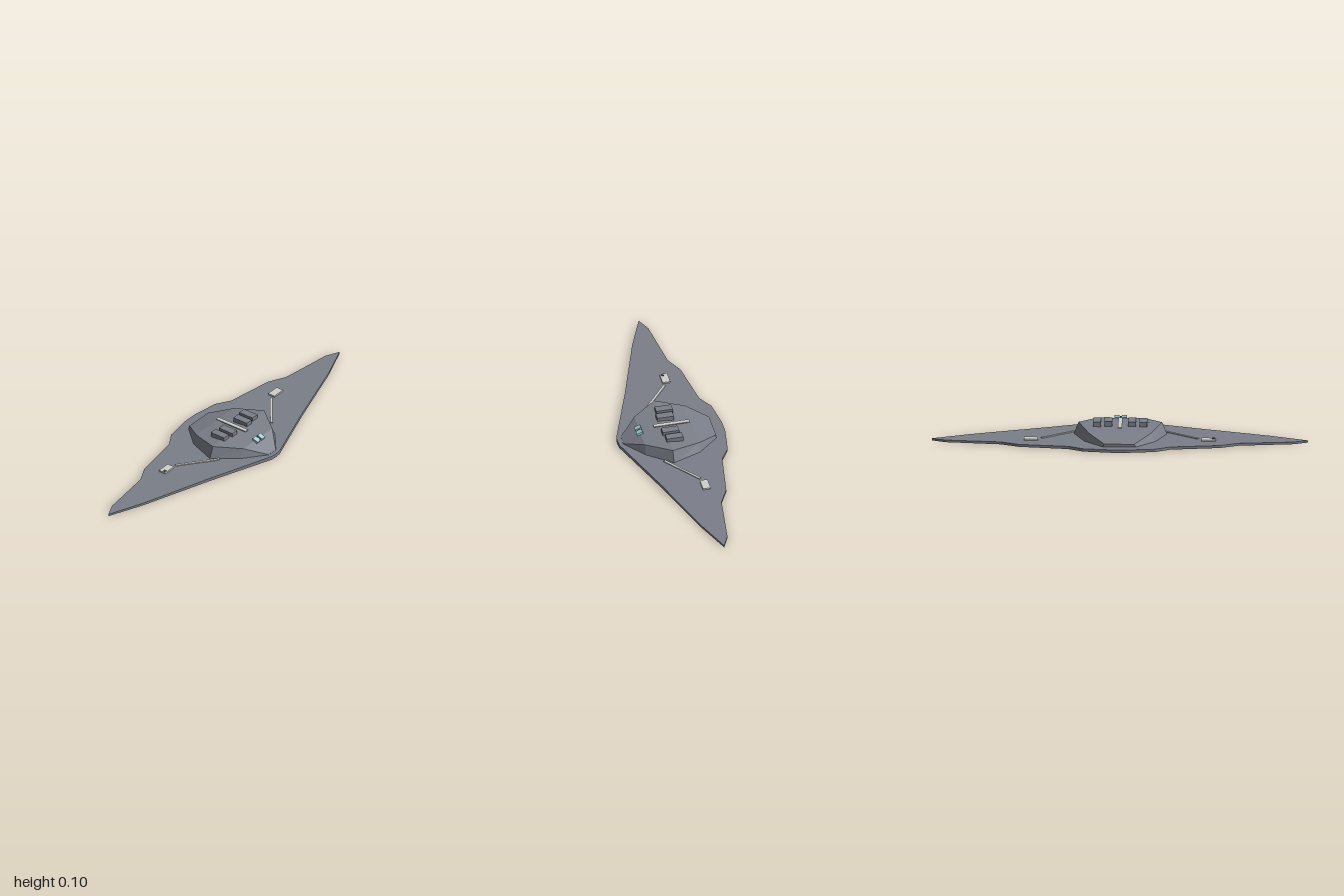
import * as THREE from 'three';

const mat = (name, color, flatShading = true) => {
  const m = new THREE.MeshStandardMaterial({ color, flatShading });
  m.name = name;
  return m;
};

export function createModel() {
  const model = new THREE.Group();
  model.name = 'wingShip';
  const hull = mat('hullGrey', 0x7b7f89);
  const pale = mat('paleMetal', 0xcfcfcd);
  const glass = mat('paleBlueGlass', 0xa5cdd6);
  const dark = mat('darkMetal', 0x4a4c50);

  const add = (name, geometry, material, x = 0, y = 0, z = 0) => {
    const mesh = new THREE.Mesh(geometry, material);
    mesh.name = name;
    mesh.position.set(x, y, z);
    model.add(mesh);
    return mesh;
  };
  const box = (name, material, w, h, d, x, y, z) =>
    add(name, new THREE.BoxGeometry(w, h, d), material, x, y, z);

  // Thin wing, thinning towards the tips: half outline as [x, z]
  const deckHeight = (x, z) => 0.018 + 0.007 * z - 0.006 * Math.abs(x);
  const outline = [[0, 0.29], [0.035, 0.287], [0.4, 0.155], [0.8, 0.022], [1, -0.06],
    [0.925, -0.095], [0.63, -0.132], [0.535, -0.18], [0.27, -0.22], [0.19, -0.268],
    [0.04, -0.29], [0, -0.29]];
  for (const s of [-1, 1]) {
    const shape = new THREE.Shape(outline.map(([x, z]) => new THREE.Vector2(s * x, -z)));
    const g = new THREE.ExtrudeGeometry(shape, { depth: 1, bevelEnabled: false });
    g.rotateX(-Math.PI / 2);
    const p = g.attributes.position;
    for (let i = 0; i < p.count; i++) {
      if (p.getY(i) > 0.5) p.setY(i, deckHeight(p.getX(i), p.getZ(i)));
      else p.setY(i, 0);
    }
    g.computeVertexNormals();
    add(s > 0 ? 'leftWing' : 'rightWing', g, hull);
  }

  // Faceted upper hull from sections: [z, base half width, roof half width, roof height]
  const sections = [[0.265, 0.035, 0.03, 0.021], [0.168, 0.152, 0.125, 0.068],
    [0.038, 0.25, 0.222, 0.08], [-0.118, 0.19, 0.165, 0.062], [-0.23, 0.09, 0.08, 0.031]];
  const ring = ([z, b, t, y]) => [[b, 0.012, z], [t, y, z], [-t, y, z], [-b, 0.012, z]];
  const tris = [];
  const quad = (a, b, c, d) => tris.push(...a, ...b, ...c, ...a, ...c, ...d);
  for (let i = 0; i < sections.length - 1; i++) {
    const f = ring(sections[i]), r = ring(sections[i + 1]);
    for (let k = 0; k < 3; k++) quad(f[k], r[k], r[k + 1], f[k + 1]);
  }
  const nose = ring(sections[0]), tail = ring(sections[4]);
  quad(nose[0], nose[1], nose[2], nose[3]);
  quad(tail[3], tail[2], tail[1], tail[0]);
  const upper = new THREE.BufferGeometry();
  upper.setAttribute('position', new THREE.Float32BufferAttribute(tris, 3));
  upper.computeVertexNormals();
  add('upperHull', upper, hull);

  // Roof spine rod
  box('spineRod', pale, 0.022, 0.005, 0.197, 0, 0.087, -0.006);

  for (const s of [-1, 1]) {
    const side = s > 0 ? 'left' : 'right';
    // Roof blocks, two per side
    box(side + 'OuterBlock', hull, 0.042, 0.026, 0.09, s * 0.123, 0.087, 0.008);
    box(side + 'InnerBlock', hull, 0.042, 0.026, 0.09, s * 0.063, 0.087, 0.016);

    // Cockpit window
    const win = box(side + 'Window', glass, 0.026, 0.013, 0.034, s * 0.02, 0.072, 0.173);
    win.rotation.x = 0.42;

    // Deck pod and the arm reaching to the hull
    box(side + 'Pod', pale, 0.075, 0.012, 0.042, s * 0.472, 0.017, -0.08);
    const from = new THREE.Vector3(s * 0.415, 0.02, -0.065);
    const to = new THREE.Vector3(s * 0.225, 0.021, 0.085);
    const arm = box(side + 'Arm', pale, 0.013, 0.005, from.distanceTo(to), 0, 0, 0);
    arm.position.copy(from).lerp(to, 0.5);
    arm.lookAt(to);
  }

  // Small stud on one pod and a latch between the windows
  box('podStud', dark, 0.014, 0.004, 0.014, -0.497, 0.0235, -0.072);
  box('windowLatch', dark, 0.01, 0.008, 0.02, 0, 0.07, 0.172).rotation.x = 0.42;

  return model;
}
